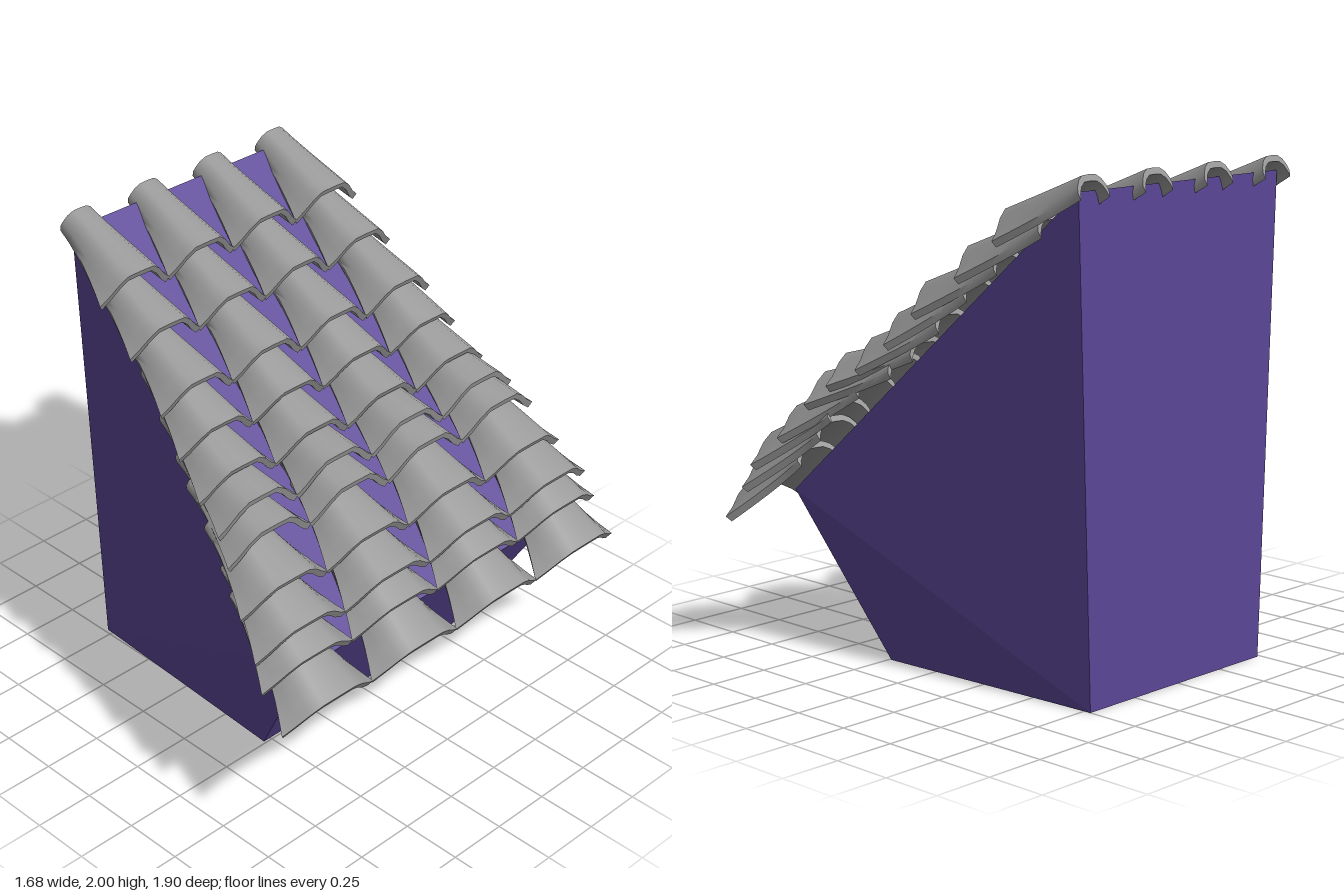
import * as THREE from 'three';
import { toCreasedNormals } from 'three/addons/utils/BufferGeometryUtils.js';
import { ConvexGeometry } from 'three/addons/geometries/ConvexGeometry.js';

const purple = new THREE.MeshStandardMaterial({ color: 0x5b4696 });
purple.name = 'purple wall';
const grey = new THREE.MeshStandardMaterial({ color: 0x999999 });
grey.name = 'grey tile';

// Half arches [z fraction, y fraction] from crest to lip, at both tile ends
const NARROW = [[0, 0], [0.42, -0.03], [0.72, -0.28], [0.92, -0.68], [1, -1]];
const WIDE = [[0, 0], [0.36, -0.02], [0.58, -0.3], [0.8, -0.72], [1, -1]];

// Curved tile: runs along +x to its wide end, with the crest of that end at the origin
function tileGeometry(length, halfWidth) {
  const stations = 7, arch = 9, ring = arch * 2, thick = 0.025;
  const pos = [], index = [];
  for (let i = 0; i < stations; i++) {
    const t = i / (stations - 1);
    const flare = t ** 1.5;
    const half = halfWidth * THREE.MathUtils.lerp(0.46, 1, flare);
    const high = THREE.MathUtils.lerp(0.065, 0.115, t);
    const x = (t - 1) * length;
    for (let k = 0; k < ring; k++) {
      const inner = k >= arch;
      const j = (inner ? ring - 1 - k : k) - 4;
      const a = NARROW[Math.abs(j)], b = WIDE[Math.abs(j)];
      const u = THREE.MathUtils.lerp(a[0], b[0], flare);
      const v = THREE.MathUtils.lerp(a[1], b[1], flare);
      pos.push(x, v * high - (inner ? thick : 0), -Math.sign(j) * u * half * (inner ? 0.92 : 1));
    }
  }
  const quad = (a, b, c, d) => index.push(a, b, c, a, c, d);
  for (let i = 0; i < stations - 1; i++) {
    for (let k = 0; k < ring; k++) {
      const n = (k + 1) % ring;
      quad(i * ring + k, (i + 1) * ring + k, (i + 1) * ring + n, i * ring + n);
    }
  }
  // End rims
  const e = (stations - 1) * ring;
  for (let j = 0; j < arch - 1; j++) {
    const p = ring - 1 - j;
    quad(e + j, e + p, e + p - 1, e + j + 1);
    quad(j, j + 1, p - 1, p);
  }
  const g = new THREE.BufferGeometry();
  g.setAttribute('position', new THREE.Float32BufferAttribute(pos, 3));
  g.setIndex(index);
  return toCreasedNormals(g, 0.75);
}

// Rows from ridge to eave: crest x, crest y, slope in degrees, total width, centre z
const ROWS = [
  [-0.45, 1.86, 22, 1.38, -0.03],
  [-0.27, 1.71, 22, 1.41, -0.03],
  [-0.07, 1.56, 22, 1.47, -0.03],
  [0.06, 1.43, 25, 1.52, -0.03],
  [0.2, 1.32, 22, 1.57, -0.02],
  [0.32, 1.25, 15, 1.63, -0.02],
  [0.41, 1.17, 16, 1.7, -0.02],
  [0.55, 1.02, 25, 1.79, -0.01],
  [0.67, 0.9, 27, 1.87, -0.01],
  [0.73, 0.8, 30, 1.89, 0],
  [0.84, 0.66, 33, 1.89, 0],
];

export function createModel() {
  const model = new THREE.Group();
  model.name = 'tiledRoof';

  // Wall block: profile corners with their left and right z
  const corners = [
    [-0.78, 0, 0.485, -0.5],
    [0.24, 0, 0.535, -0.56],
    [0.63, 0.66, 0.68, -0.71],
    [-0.78, 1.94, 0.55, -0.575],
  ];
  const points = corners.flatMap(([x, y, l, r]) =>
    [new THREE.Vector3(x, y, l), new THREE.Vector3(x, y, r)]);
  const wall = new THREE.Mesh(new ConvexGeometry(points), purple);
  wall.name = 'wall';
  model.add(wall);

  // Four columns of overlapping tiles that fan out towards the eave
  ROWS.forEach(([x, y, slope, width, zc], r) => {
    const row = new THREE.Group();
    row.name = `tileRow${r + 1}`;
    const geometry = tileGeometry(0.38, width / 8 + 0.004);
    for (let c = 0; c < 4; c++) {
      const tile = new THREE.Mesh(geometry, grey);
      tile.name = 'roofTile';
      tile.position.set(x, y, zc + (1.5 - c) * width / 4);
      tile.rotation.z = -THREE.MathUtils.degToRad(slope);
      row.add(tile);
    }
    model.add(row);
  });
  return model;
}
